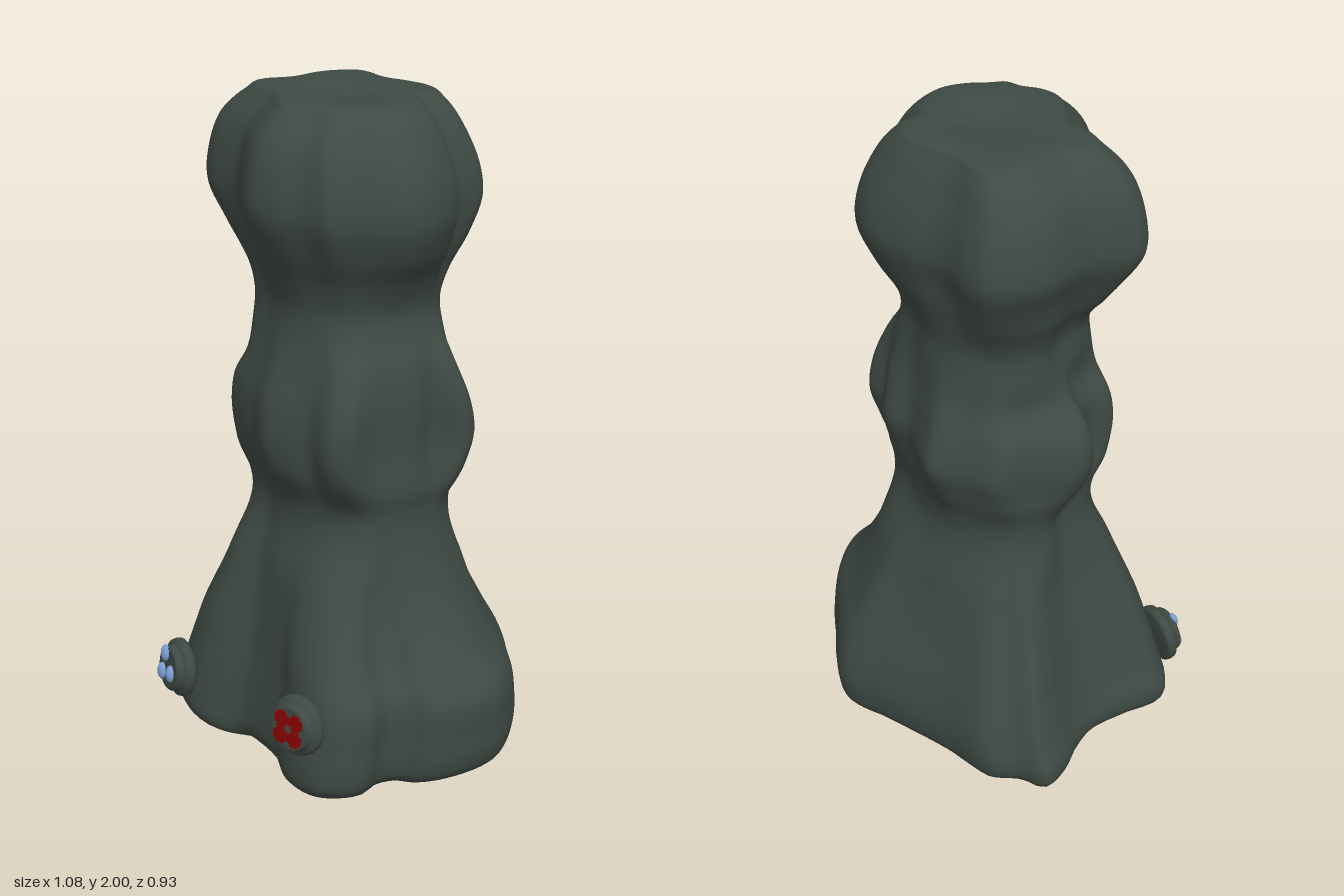
import * as THREE from 'three';

const mat = (name, color) => {
  const m = new THREE.MeshStandardMaterial({ color });
  m.name = name;
  return m;
};

const SIDES = 144;

// Horizontal outlines as x, z pairs
const BASE = [0.16, -0.465, 0.02, -0.43, -0.21, -0.375, -0.33, -0.362, -0.39, -0.35, -0.46, -0.285, -0.53, -0.255,
  -0.52, -0.17, -0.47, -0.07, -0.44, 0.03, -0.455, 0.15, -0.48, 0.27, -0.435, 0.325, -0.3, 0.38, -0.22, 0.37,
  -0.13, 0.32, -0.05, 0.32, 0.08, 0.34, 0.2, 0.39, 0.34, 0.39, 0.405, 0.345, 0.435, 0.28, 0.415, 0.21, 0.44, 0.14,
  0.49, 0.105, 0.53, 0.015, 0.535, -0.12, 0.5, -0.2, 0.42, -0.295, 0.33, -0.36, 0.25, -0.42];
const SLIM = [0, 0.24, 0.1, 0.225, 0.17, 0.185, 0.23, 0.1, 0.25, 0, 0.24, -0.09, 0.19, -0.175, 0.1, -0.205, 0, -0.235,
  -0.1, -0.235, -0.2, -0.19, -0.265, -0.12, -0.28, -0.05, -0.252, 0.03, -0.245, 0.13, -0.2, 0.195, -0.1, 0.22];
const WAIST = [0, 0.315, 0.07, 0.295, 0.14, 0.265, 0.235, 0.275, 0.285, 0.235, 0.28, 0.14, 0.31, 0.02, 0.295, -0.07,
  0.345, -0.14, 0.33, -0.19, 0.25, -0.2, 0.18, -0.255, 0.07, -0.255, -0.03, -0.3, -0.1, -0.325, -0.19, -0.275,
  -0.29, -0.225, -0.325, -0.13, -0.39, -0.03, -0.38, 0.05, -0.3, 0.09, -0.265, 0.15, -0.28, 0.22, -0.2, 0.255, -0.1, 0.28];
const HEAD = [0, -0.305, 0.15, -0.32, 0.25, -0.27, 0.265, -0.16, 0.33, -0.11, 0.38, 0.03, 0.35, 0.13, 0.28, 0.22,
  0.24, 0.275, 0.16, 0.3, 0.09, 0.342, 0, 0.358, -0.1, 0.31, -0.2, 0.25, -0.35, 0.24, -0.42, 0.17, -0.375, 0.03,
  -0.38, -0.11, -0.36, -0.19, -0.295, -0.275, -0.22, -0.285, -0.14, -0.275, -0.08, -0.28];

// Radius of a closed outline at evenly spaced angles
function polar(flat) {
  const pts = [];
  for (let i = 0; i < flat.length; i += 2) pts.push(new THREE.Vector3(flat[i], 0, flat[i + 1]));
  const samples = new THREE.CatmullRomCurve3(pts, true).getPoints(1600)
    .map((p) => [Math.atan2(p.z, p.x), Math.hypot(p.x, p.z)]);
  return Array.from({ length: SIDES }, (_, i) => {
    const a = (i / SIDES) * Math.PI * 2;
    let best = Infinity, r = 0;
    for (const [b, rb] of samples) {
      const d = 1 - Math.cos(a - b);
      if (d < best) { best = d; r = rb; }
    }
    return r;
  });
}

// Levels: y, xMin, xMax, zMin, zMax
const LOWER = [
  [0, -0.0004, 0.0004, -0.0004, 0.0004], [0.012, -0.25, 0.24, -0.22, 0.2], [0.03, -0.43, 0.4, -0.37, 0.35],
  [0.07, -0.52, 0.5, -0.44, 0.4], [0.13, -0.537, 0.53, -0.46, 0.405], [0.21, -0.505, 0.535, -0.46, 0.395],
  [0.32, -0.462, 0.53, -0.43, 0.375], [0.42, -0.425, 0.45, -0.385, 0.35], [0.58, -0.355, 0.365, -0.31, 0.295],
  [0.74, -0.315, 0.317, -0.247, 0.245], [0.85, -0.312, 0.308, -0.245, 0.245]];
const UPPER = [
  [0.95, -0.36, 0.335, -0.285, 0.295], [1.05, -0.39, 0.345, -0.32, 0.315], [1.15, -0.375, 0.342, -0.295, 0.305],
  [1.24, -0.3, 0.315, -0.262, 0.275], [1.33, -0.285, 0.272, -0.24, 0.245], [1.42, -0.28, 0.252, -0.232, 0.235],
  [1.51, -0.31, 0.285, -0.25, 0.262], [1.6, -0.365, 0.345, -0.285, 0.31], [1.7, -0.42, 0.38, -0.32, 0.352],
  [1.8, -0.415, 0.37, -0.31, 0.35], [1.9, -0.38, 0.325, -0.273, 0.32], [1.97, -0.31, 0.265, -0.235, 0.257],
  [2, -0.24, 0.19, -0.19, 0.2], [1.98, -0.0004, 0.0004, -0.0004, 0.0004]];

// Lumpy column lofted through the outlines, narrowing between its swellings
function bodyGeometry() {
  const levels = [...LOWER, ...UPPER];
  const slim = polar(SLIM);
  const base = polar(BASE);
  const changes = [[0.3, 0.82, slim], [0.82, 1.05, polar(WAIST)], [1.08, 1.4, slim], [1.4, 1.68, polar(HEAD)]];
  const curve = (f) => new THREE.CatmullRomCurve3(levels.map(f), false, 'catmullrom', 0.5);
  const xs = curve((l) => new THREE.Vector3(l[0], l[1], l[2]));
  const zs = curve((l) => new THREE.Vector3(l[0], l[3], l[4]));
  const rows = (levels.length - 1) * 5;
  const pos = [], index = [];
  for (let j = 0; j <= rows; j++) {
    const px = xs.getPoint(j / rows), pz = zs.getPoint(j / rows);
    const y = THREE.MathUtils.clamp(px.x, 0, 2);
    const ring = base.map((b, i) => {
      const r = changes.reduce((v, [from, to, outline]) =>
        THREE.MathUtils.lerp(v, outline[i], THREE.MathUtils.smoothstep(y, from, to)), b);
      const a = (i / SIDES) * Math.PI * 2;
      return [r * Math.cos(a), r * Math.sin(a)];
    });
    // Fit the ring to the width and depth of its level
    const ext = (k, s) => Math.max(...ring.map((p) => s * p[k]));
    const sx = [-px.y / ext(0, -1), px.z / ext(0, 1)];
    const sz = [-pz.y / ext(1, -1), pz.z / ext(1, 1)];
    for (const [x, z] of ring) pos.push(x * sx[x > 0 ? 1 : 0], y, z * sz[z > 0 ? 1 : 0]);
  }
  for (let j = 0; j < rows; j++) {
    for (let i = 0; i < SIDES; i++) {
      const n = (i + 1) % SIDES;
      const a = j * SIDES + i, b = j * SIDES + n, c = a + SIDES, d = b + SIDES;
      index.push(a, c, b, b, c, d);
    }
  }
  const g = new THREE.BufferGeometry();
  g.setAttribute('position', new THREE.Float32BufferAttribute(pos, 3));
  g.setIndex(index);
  g.computeVertexNormals();
  return g;
}

export function createModel() {
  const stone = mat('dark green grey', 0x3f4a44);
  const red = mat('deep red', 0x880303);
  const blue = mat('light blue', 0x7b9fd6);
  const model = new THREE.Group();
  const add = (parent, name, geo, m, x = 0, y = 0, z = 0) => {
    const mesh = new THREE.Mesh(geo, m);
    mesh.name = name;
    mesh.position.set(x, y, z);
    parent.add(mesh);
    return mesh;
  };

  add(model, 'body', bodyGeometry(), stone);

  // Round badge with a stepped rim, facing local +z
  const badge = (name, x, y, z, turn) => {
    const g = new THREE.Group();
    g.name = name;
    g.position.set(x, y, z);
    g.rotation.set(-0.1, turn, 0);
    const profile = [[0, -0.06], [0.078, -0.06], [0.088, -0.052], [0.09, -0.04], [0.087, -0.028], [0.078, -0.021],
      [0.07, -0.02], [0.069, -0.004], [0.064, 0.002], [0.058, 0], [0, 0]].map(([r, h]) => new THREE.Vector2(r, h));
    add(g, name + 'Disc', new THREE.LatheGeometry(profile, 40).rotateX(Math.PI / 2), stone);
    model.add(g);
    return g;
  };

  // Badge with three blue ovals
  const ovals = badge('ovalBadge', -0.358, 0.207, 0.424, -0.2);
  for (const [x, y] of [[-0.02, 0.044], [-0.038, -0.022], [0.022, -0.009]]) {
    add(ovals, 'blueOval', new THREE.SphereGeometry(1, 20, 14), blue, x, y, 0.003).scale.set(0.019, 0.027, 0.014);
  }

  // Badge with four small red crosses
  const crosses = badge('crossBadge', 0.283, 0.288, 0.45, 0.19);
  for (const sx of [-1, 1]) {
    for (const sy of [-1, 1]) {
      add(crosses, 'redCrossBar', new THREE.BoxGeometry(0.046, 0.025, 0.008), red, sx * 0.026, sy * 0.025, 0.003);
      add(crosses, 'redCrossPost', new THREE.BoxGeometry(0.025, 0.046, 0.009), red, sx * 0.026, sy * 0.025, 0.003);
    }
  }
  return model;
}
